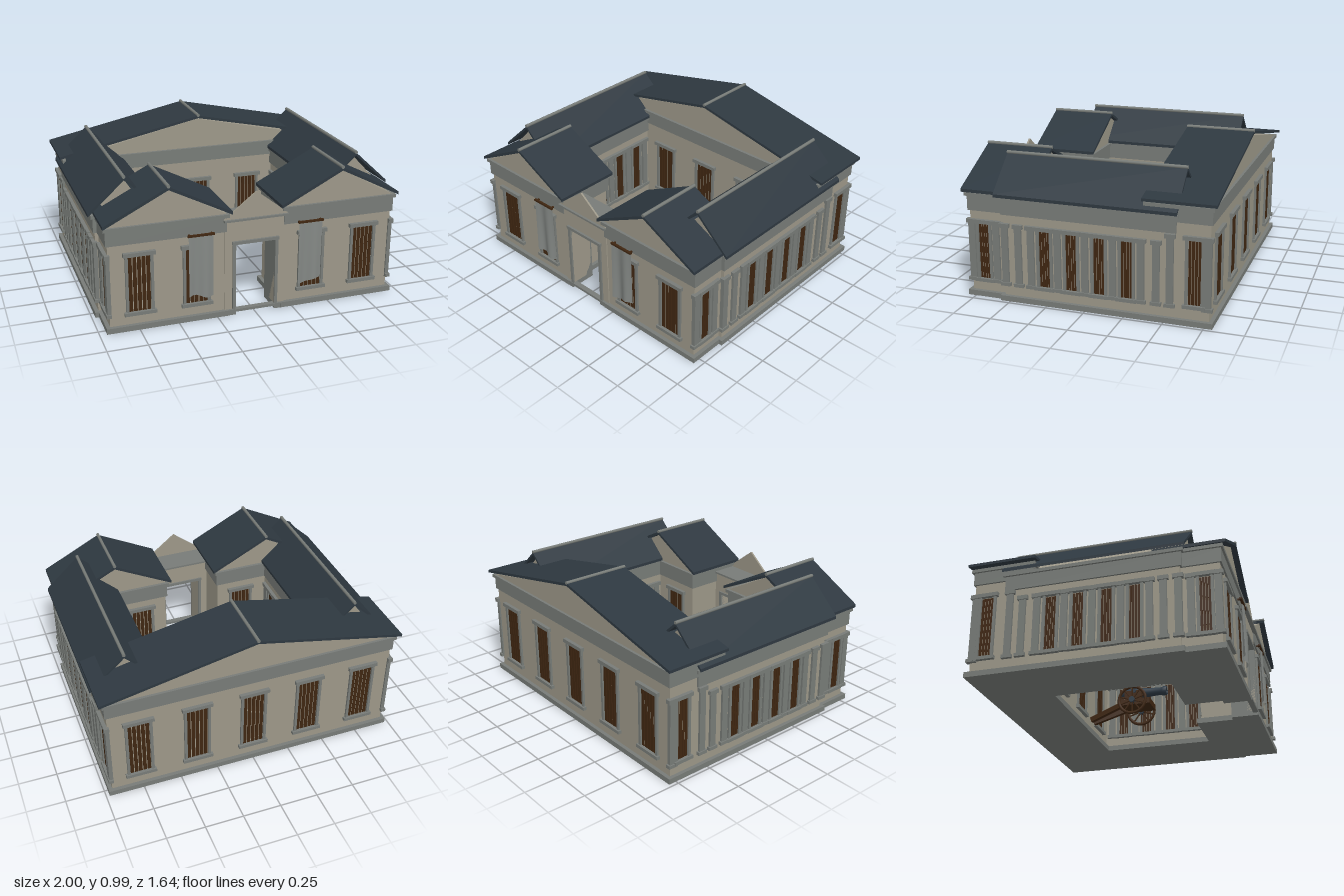
import * as THREE from 'three';

const mat = (name, color) => {
  const m = new THREE.MeshStandardMaterial({ color });
  m.name = name;
  return m;
};

export function createModel() {
  const root = new THREE.Group();
  root.name = 'courtyardHall';
  const wall = mat('sandstone', 0x9c9788), trim = mat('grey stone trim', 0x777b77);
  const roofMat = mat('slate roof', 0x2e3840), wood = mat('dark wood', 0x3f2611);
  const iron = mat('gun iron', 0x2f3b46), cloth = mat('banner cloth', 0x848885);
  cloth.side = THREE.DoubleSide;

  const add = (parent, name, geo, m, x = 0, y = 0, z = 0) => {
    const o = new THREE.Mesh(geo, m);
    o.name = name;
    o.position.set(x, y, z);
    parent.add(o);
    return o;
  };
  // Box given by its limits on each axis
  const box = (parent, name, m, x0, x1, y0, y1, z0, z1) =>
    add(parent, name, new THREE.BoxGeometry(Math.abs(x1 - x0), y1 - y0, z1 - z0), m,
      (x0 + x1) / 2, (y0 + y1) / 2, (z0 + z1) / 2);
  const group = (parent, name, x = 0, y = 0, z = 0, ry = 0) => {
    const g = new THREE.Group();
    g.name = name;
    g.position.set(x, y, z);
    g.rotation.y = ry;
    parent.add(g);
    return g;
  };
  // Polygon in x,y pulled along z
  const prism = (parent, name, m, pts, z0, z1) => {
    const s = new THREE.Shape(pts.map(p => new THREE.Vector2(p[0], p[1])));
    return add(parent, name, new THREE.ExtrudeGeometry(s, { depth: z1 - z0, bevelEnabled: false }), m, 0, 0, z0);
  };
  // Pitched roof: two slabs and a ridge cap
  const gableRoof = (name, cx, half, eave, ridge, z0, z1, t) => {
    const g = group(root, name);
    prism(g, 'roofSlabs', roofMat, [[cx - half, eave], [cx, ridge - t], [cx + half, eave],
      [cx + half, eave + t], [cx, ridge], [cx - half, eave + t]], z0, z1);
    const cap = add(g, 'ridgeCap', new THREE.CylinderGeometry(0.011, 0.011, z1 - z0 + 0.004, 8), trim, cx, ridge + 0.002, (z0 + z1) / 2);
    cap.rotation.x = Math.PI / 2;
  };
  const pediment = (name, cx, half, y0, y1, z0, z1) =>
    prism(root, name, wall, [[cx - half, y0], [cx + half, y0], [cx, y1]], z0, z1);

  // Barred window facing local +z
  const barredWindow = (x, z, ry, w, y0, y1) => {
    const g = group(root, 'window', x, 0, z, ry);
    const h = w / 2, n = w > 0.1 ? 5 : 4, step = w / n;
    for (let i = 0; i < n; i++) {
      const c = -h + (i + 0.5) * step;
      box(g, 'bar', wood, c - step * 0.4, c + step * 0.4, y0, y1 - 0.005, -0.005, 0.004);
    }
    for (const s of [-1, 1]) box(g, 'jamb', trim, s * h, s * (h + 0.018), y0, y1, -0.01, 0.014);
    box(g, 'sill', trim, -h - 0.03, h + 0.03, y0 - 0.022, y0, -0.01, 0.024);
    box(g, 'head', trim, -h - 0.03, h + 0.03, y1, y1 + 0.025, -0.01, 0.024);
  };
  // Flat column with base and cap, facing local +z
  const pilaster = (x, z, ry, top) => {
    const g = group(root, 'pilaster', x, 0, z, ry);
    box(g, 'shaft', trim, -0.022, 0.022, 0.12, top - 0.025, -0.01, 0.015);
    box(g, 'base', trim, -0.033, 0.033, 0.1, 0.122, -0.01, 0.022);
    box(g, 'cap', trim, -0.033, 0.033, top - 0.027, top, -0.01, 0.022);
  };
  // Walls with plinth, frieze and cornice
  const block = (name, x0, x1, z0, z1, wallTop, top) => {
    const g = group(root, name);
    const ring = (part, m, y0, y1, e) => box(g, part, m, Math.min(x0, x1) - e, Math.max(x0, x1) + e, y0, y1, z0 - e, z1 + e);
    ring('plinth', trim, 0, 0.035, 0.025);
    ring('wall', wall, 0.035, wallTop, 0);
    ring('frieze', trim, wallTop, top - 0.022, 0.012);
    ring('cornice', trim, top - 0.022, top, 0.025);
  };

  // Back hall
  block('backHall', -0.953, 0.953, -0.777, -0.4, 0.635, 0.742);
  pediment('backPediment', 0, 0.965, 0.74, 0.952, -0.785, -0.395);
  gableRoof('backRoof', 0, 1, 0.752, 0.98, -0.82, -0.37, 0.018);
  for (const x of [-0.76, -0.38, 0, 0.38, 0.76]) {
    barredWindow(x, -0.777, Math.PI, 0.14, 0.13, 0.535);
    if (Math.abs(x) < 0.5) barredWindow(x, -0.4, 0, 0.14, 0.12, 0.485);
  }

  for (const s of [-1, 1]) {
    const out = s * Math.PI / 2;
    // Side wing
    block('sideWing', s * 0.575, s * 0.953, -0.56, 0.54, 0.565, 0.682);
    pediment('wingPediment', s * 0.77, 0.185, 0.68, 0.875, -0.55, 0.55);
    gableRoof('wingRoof', s * 0.77, 0.228, 0.682, 0.912, -0.585, 0.58, 0.02);
    for (const z of [0.265, 0.09, -0.09, -0.265]) {
      barredWindow(s * 0.953, z, out, 0.07, 0.12, 0.485);
      barredWindow(s * 0.575, z, -out, 0.07, 0.12, 0.485);
    }
    for (const z of [0.53, 0.44, 0.355, 0.178, 0, -0.178, -0.355, -0.45]) {
      pilaster(s * 0.953, z, out, 0.51);
      if (Math.abs(z) < 0.36) pilaster(s * 0.575, z, -out, 0.51);
    }
    // Hall end wall
    barredWindow(s * 0.953, -0.685, out, 0.08, 0.13, 0.535);
    for (const z of [-0.535, -0.765]) pilaster(s * 0.953, z, out, 0.56);

    // Front pavilion
    block('frontPavilion', s * 0.2, s * 0.93, 0.4, 0.777, 0.565, 0.682);
    pediment('frontPediment', s * 0.56, 0.375, 0.68, 0.886, 0.395, 0.785);
    gableRoof('frontRoof', s * 0.56, 0.4, 0.685, 0.908, 0.37, 0.82, 0.02);
    for (const x of [0.74, 0.38]) barredWindow(s * x, 0.777, 0, 0.14, 0.12, 0.485);
    barredWindow(s * 0.38, 0.4, Math.PI, 0.14, 0.12, 0.485);
    barredWindow(s * 0.93, 0.685, out, 0.07, 0.12, 0.485);
    for (const z of [0.6, 0.765]) pilaster(s * 0.93, z, out, 0.51);

    // Hanging banner, gently folded
    const b = group(root, 'banner', s * 0.36, 0, 0.812);
    const geo = new THREE.PlaneGeometry(0.16, 0.405, 16, 6);
    const p = geo.attributes.position;
    for (let i = 0; i < p.count; i++) {
      const x = p.getX(i), drop = 0.5 - p.getY(i) / 0.405;
      p.setZ(i, 0.011 * Math.sin(x * 55) * (0.4 + 0.6 * drop));
      p.setY(i, p.getY(i) + 0.012 * drop * Math.sin(x * 30 * s));
    }
    geo.computeVertexNormals();
    add(b, 'cloth', geo, cloth, 0, 0.372, 0);
    box(b, 'rod', wood, -0.085, 0.085, 0.57, 0.582, -0.008, 0.008);
    for (const e of [-0.07, 0.07]) box(b, 'bracket', wood, e - 0.005, e + 0.005, 0.57, 0.58, -0.035, 0);

    // Gate jambs
    box(root, 'gateWall', wall, s * 0.13, s * 0.2, 0.035, 0.49, 0.63, 0.785);
    box(root, 'gateJamb', trim, s * 0.13, s * 0.15, 0.035, 0.475, 0.62, 0.797);
    box(root, 'gatePlinth', trim, s * 0.13, s * 0.2, 0, 0.035, 0.62, 0.8);
  }

  // Gate between the pavilions
  box(root, 'gateOverWall', wall, -0.2, 0.2, 0.49, 0.635, 0.63, 0.785);
  box(root, 'gateLintel', trim, -0.155, 0.155, 0.475, 0.495, 0.62, 0.8);
  box(root, 'gateCornice', trim, -0.21, 0.21, 0.632, 0.645, 0.61, 0.812);
  pediment('gatePediment', 0, 0.21, 0.645, 0.81, 0.785, 0.797);
  box(root, 'gateSill', trim, -0.14, 0.14, 0.018, 0.035, 0.765, 0.8);

  // Field gun in the courtyard
  const gun = group(root, 'fieldGun');
  const profile = [[0, -0.115], [0.013, -0.112], [0.015, -0.095], [0.03, -0.085], [0.038, -0.06], [0.036, 0.01],
    [0.029, 0.1], [0.025, 0.165], [0.031, 0.18], [0.031, 0.21], [0.015, 0.21], [0.015, 0.16], [0, 0.16]];
  const barrel = add(gun, 'barrel', new THREE.LatheGeometry(profile.map(q => new THREE.Vector2(q[0], q[1])), 16), iron, 0, 0.19, 0);
  barrel.rotation.x = Math.PI / 2;
  for (const [name, len, r, y] of [['axle', 0.25, 0.012, 0.103], ['trunnion', 0.14, 0.013, 0.185]])
    add(gun, name, new THREE.CylinderGeometry(r, r, len, 10), iron, 0, y, 0).rotation.z = Math.PI / 2;
  box(gun, 'carriageBed', wood, -0.075, 0.075, 0.085, 0.125, -0.11, 0.11);
  for (const s of [-1, 1]) {
    box(gun, 'cheek', wood, s * 0.042, s * 0.062, 0.12, 0.19, -0.07, 0.05);
    const trail = box(gun, 'trail', wood, -0.014, 0.014, -0.016, 0.016, -0.125, 0.125);
    trail.position.set(s * 0.04, 0.062, -0.195);
    trail.lookAt(s * 0.052, 0.102, -0.08);
    const wheel = group(gun, 'wheel', s * 0.113, 0.103, 0, Math.PI / 2);
    add(wheel, 'rim', new THREE.TorusGeometry(0.092, 0.01, 8, 24), wood);
    add(wheel, 'hub', new THREE.CylinderGeometry(0.02, 0.02, 0.03, 12), iron).rotation.x = Math.PI / 2;
    for (let i = 0; i < 5; i++)
      add(wheel, 'spokePair', new THREE.CylinderGeometry(0.005, 0.005, 0.18, 6), wood).rotation.z = i * Math.PI / 5;
  }
  return root;
}
